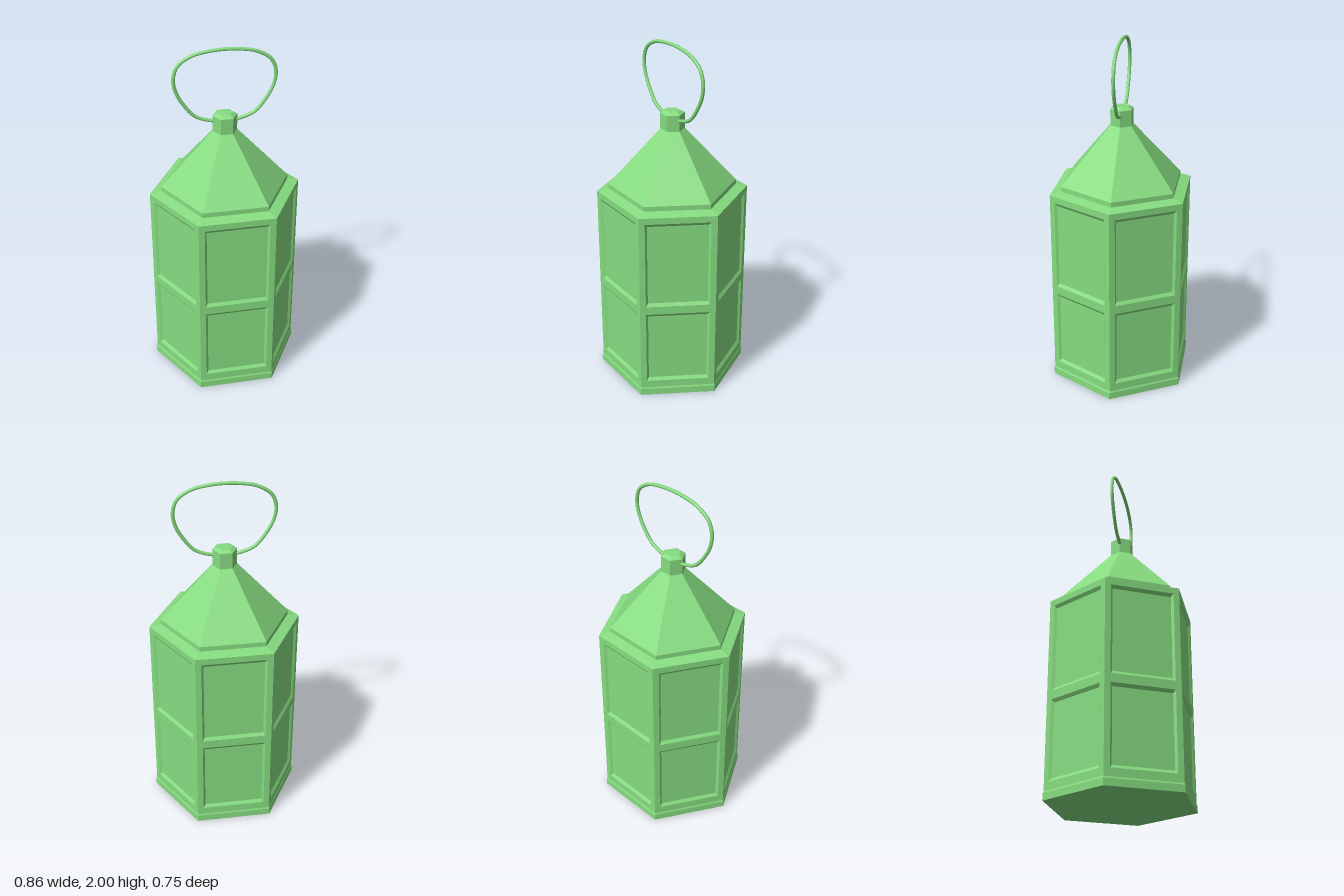
import * as THREE from 'three';

const COLOR = 0x86dc80;
const flat = new THREE.MeshStandardMaterial({ color: COLOR, flatShading: true });
const smooth = new THREE.MeshStandardMaterial({ color: COLOR });

const R = 0.427;                          // corner radius of the body
const APOTHEM = R * Math.cos(Math.PI / 6);
const Y0 = 0.05, Y1 = 1.155;              // wall bottom and top
const DEPTH = 0.012;                      // panel recess

// Six-sided turned solid with corners on the x axis; profile runs bottom to top
function hexLathe(name, profile) {
  const pts = profile.map(([r, y]) => new THREE.Vector2(r, y));
  const mesh = new THREE.Mesh(new THREE.LatheGeometry(pts, 6, Math.PI / 2), flat);
  mesh.name = name;
  return mesh;
}

const rect = (x, y0, y1, z = 0) => [[-x, y0, z], [x, y0, z], [x, y1, z], [-x, y1, z]];

// Sunken panel: four sloped sides and a flat back
function recessGeometry(x, y0, y1) {
  const outer = rect(x, y0, y1);
  const inner = rect(x - 0.012, y0 + 0.018, y1 - 0.018, -DEPTH);
  const pos = [];
  const quad = (a, b, c, d) => pos.push(...a, ...b, ...c, ...a, ...c, ...d);
  for (let i = 0; i < 4; i++) {
    const j = (i + 1) % 4;
    quad(outer[i], outer[j], inner[j], inner[i]);
  }
  quad(...inner);
  const g = new THREE.BufferGeometry();
  g.setAttribute('position', new THREE.Float32BufferAttribute(pos, 3));
  g.computeVertexNormals();
  return g;
}

// One wall: flat frame with two sunken panels
function createWall() {
  const wall = new THREE.Group();
  wall.name = 'wall';
  const path = (x, a, b) => rect(x, a, b).map(([px, py]) => new THREE.Vector2(px, py));
  const frame = new THREE.Shape(path(R / 2, Y0, Y1));
  for (const [a, b] of [[0.095, 0.55], [0.6, 1.118]]) {
    frame.holes.push(new THREE.Path(path(0.18, a, b).reverse()));
    const panel = new THREE.Mesh(recessGeometry(0.18, a, b), flat);
    panel.name = 'panel';
    panel.position.z = APOTHEM;
    wall.add(panel);
  }
  const frameMesh = new THREE.Mesh(new THREE.ShapeGeometry(frame), flat);
  frameMesh.name = 'wallFrame';
  frameMesh.position.z = APOTHEM;
  wall.add(frameMesh);
  return wall;
}

export function createModel() {
  const lantern = new THREE.Group();
  lantern.name = 'lantern';

  // Foot band, closed underneath
  lantern.add(hexLathe('base', [[0, 0], [0.432, 0], [0.432, 0.04], [R, Y0]]));

  // Six walls
  for (let i = 0; i < 6; i++) {
    const wall = createWall();
    wall.rotation.y = i * Math.PI / 3;
    lantern.add(wall);
  }

  // Sloped ledge, eave, roof and cap
  lantern.add(hexLathe('ledge', [[R, Y1], [0.36, 1.17]]));
  lantern.add(hexLathe('roof', [[0.362, 1.165], [0.362, 1.197], [0.068, 1.52]]));
  lantern.add(hexLathe('cap', [[0.068, 1.52], [0.068, 1.612], [0.043, 1.626], [0, 1.626]]));

  // Wire handle passing through the cap, mirrored half path
  const half = [[0.06, 1.58], [0.16, 1.615], [0.224, 1.69], [0.265, 1.77],
    [0.275, 1.845], [0.25, 1.915], [0.175, 1.965], [0.09, 1.984]];
  const loop = [[0, 1.575], ...half, [0, 1.99],
    ...half.slice().reverse().map(([x, y]) => [-x, y])];
  const curve = new THREE.CatmullRomCurve3(
    loop.map(([x, y]) => new THREE.Vector3(x, y, 0)), true);
  const handle = new THREE.Mesh(new THREE.TubeGeometry(curve, 72, 0.01, 8, true), smooth);
  handle.name = 'handle';
  lantern.add(handle);

  return lantern;
}
